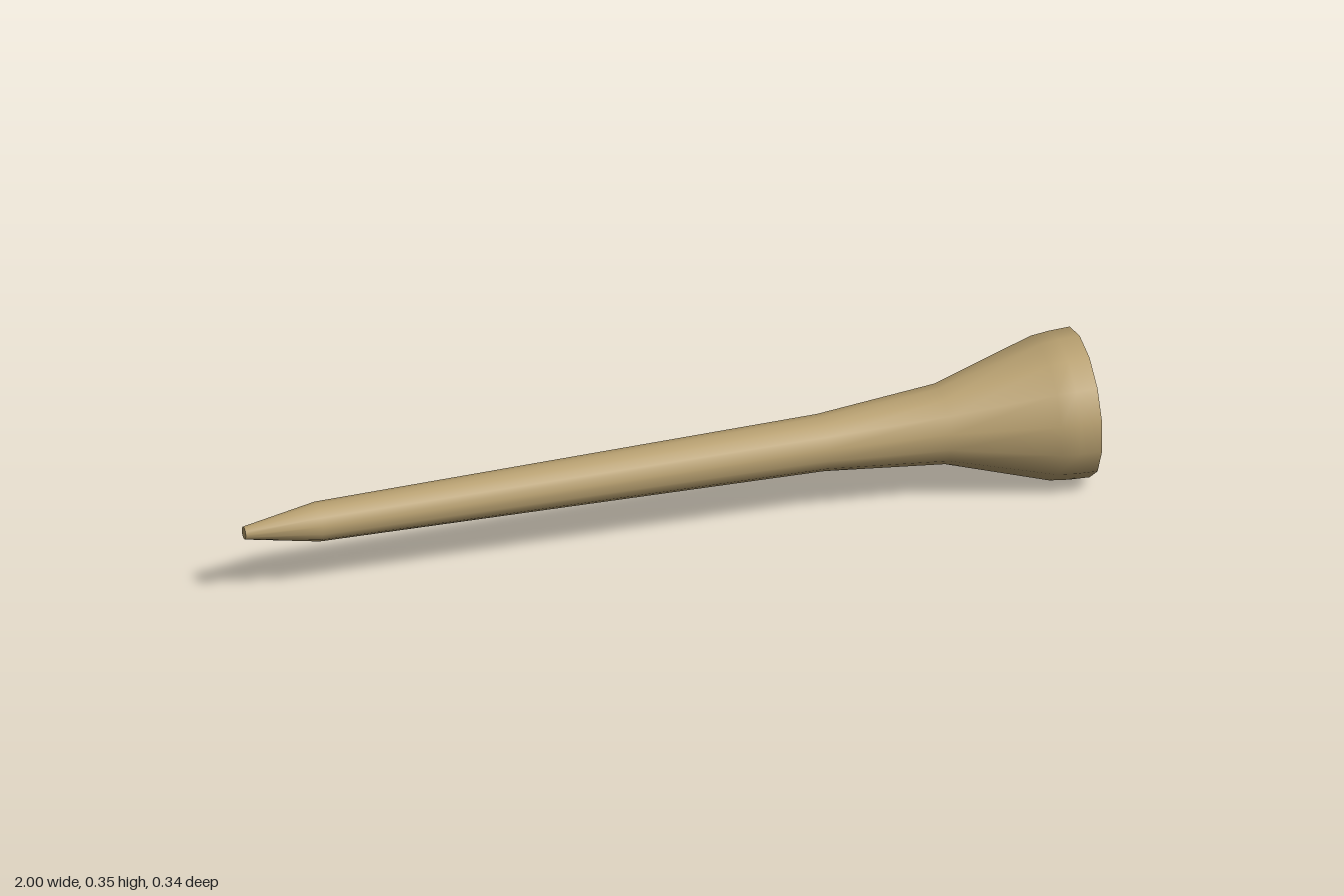
import * as THREE from 'three';

const SIDES = 14;
const RADIUS = 0.174;

export function createModel() {
  const model = new THREE.Group();
  model.name = 'tee';
  const wood = new THREE.MeshStandardMaterial({ color: 0xb8a070 });
  wood.name = 'wood';

  // Each surface is turned from [x, radius] points around the long axis;
  // separate surfaces keep the edges between them sharp.
  const turn = (name, profile) => {
    const points = profile.map(([x, r]) => new THREE.Vector2(r, x));
    const geometry = new THREE.LatheGeometry(points, SIDES, Math.PI / 2);
    geometry.rotateZ(-Math.PI / 2);
    const mesh = new THREE.Mesh(geometry, wood);
    mesh.name = name;
    mesh.position.y = RADIUS;
    model.add(mesh);
  };

  // Blunt end of the point
  turn('tip', [[-1, 0], [-1, 0.015]]);
  // Tapered point, shaft and flared head
  turn('shaft', [
    [-1, 0.015], [-0.825, 0.046], [0.38, 0.066],
    [0.665, 0.093], [0.905, 0.167], [0.95, 0.172], [1, RADIUS],
  ]);
  // Shallow sloping rim of the cup
  turn('rim', [[1, RADIUS], [0.968, 0.118]]);
  // Cup wall and floor
  turn('cupWall', [[0.968, 0.118], [0.76, 0.102]]);
  turn('cupFloor', [[0.76, 0.102], [0.76, 0]]);

  return model;
}
